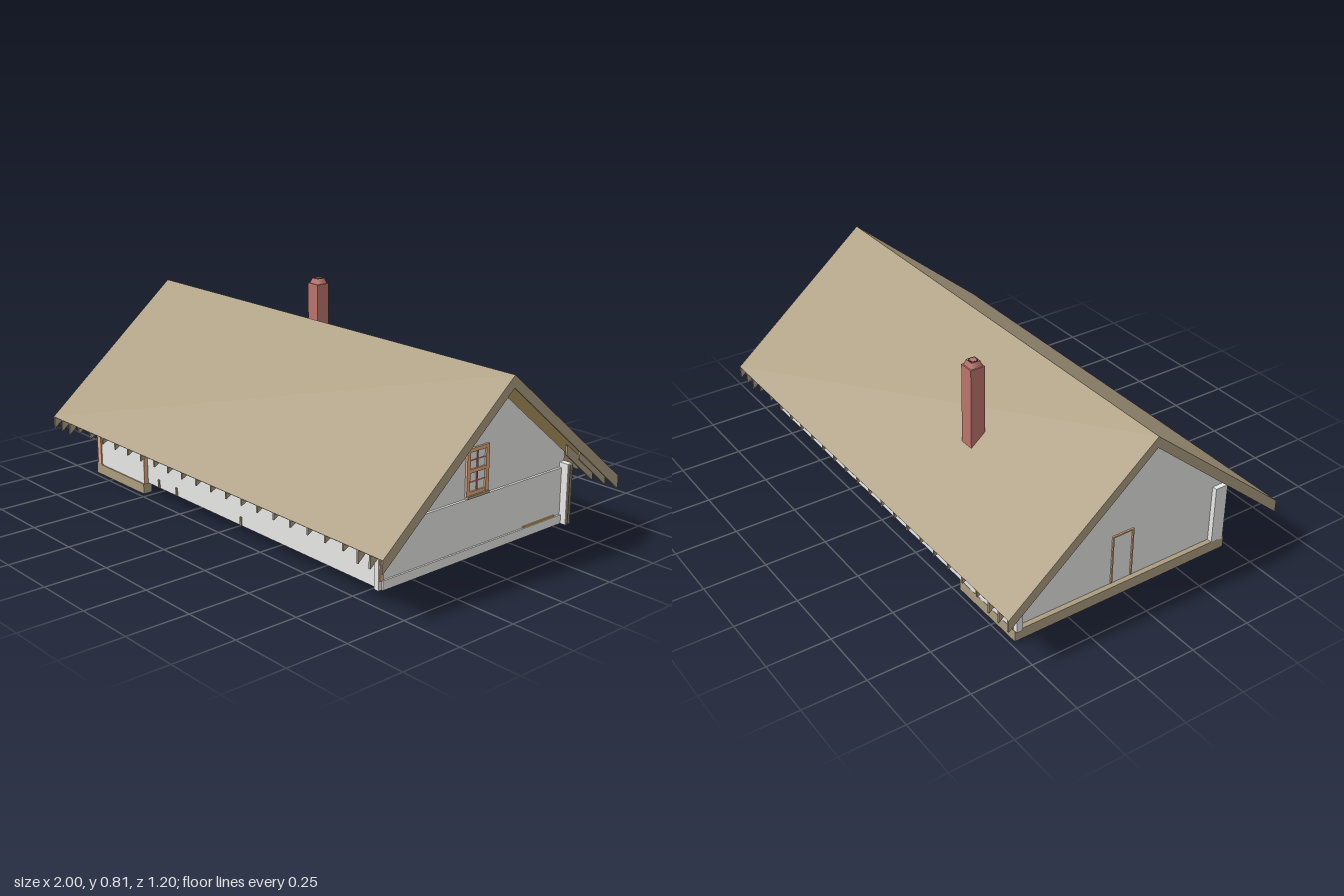
import * as THREE from 'three';

const mat = (name, color) => {
  const m = new THREE.MeshStandardMaterial({ color });
  m.name = name;
  return m;
};

export function createModel() {
  const house = new THREE.Group();
  house.name = 'house';
  const tan = mat('roof tan', 0xac9d80);
  const white = mat('wall white', 0xe8e8e6);
  const orange = mat('frame wood', 0xe0aa80);
  const red = mat('chimney brick', 0xbc746b);
  const plank = mat('floor plank', 0xc08e92);
  const lining = mat('roof lining', 0xc0a468);
  const yellow = mat('yellow trim', 0xe0b050);
  const dark = mat('flue dark', 0x2c2422);

  const add = (name, geo, m, parent = house) => {
    const mesh = new THREE.Mesh(geo, m);
    mesh.name = name;
    parent.add(mesh);
    return mesh;
  };
  // Box given by its limits on each axis
  const box = (name, m, x0, x1, y0, y1, z0, z1, parent) => {
    const mesh = add(name, new THREE.BoxGeometry(x1 - x0, y1 - y0, z1 - z0), m, parent);
    mesh.position.set((x0 + x1) / 2, (y0 + y1) / 2, (z0 + z1) / 2);
    return mesh;
  };
  // Prism with a [z, y] profile, centred on x
  const prism = (points, width) => {
    const shape = new THREE.Shape(points.map(([z, y]) => new THREE.Vector2(z, y)));
    const geo = new THREE.ExtrudeGeometry(shape, { depth: width, bevelEnabled: false });
    return geo.translate(0, 0, -width / 2).rotateY(-Math.PI / 2);
  };

  // Walls: main storey, gables, back wall and projecting entrance bay
  box('mainWalls', white, -0.849, 0.85, 0.045, 0.265, -0.46, 0.46);
  const gables = add('gableWalls', prism([[-0.48, 0.262], [0.48, 0.262], [0.48, 0.32], [0, 0.72], [-0.48, 0.32]], 1.69), white);
  gables.position.x = -0.005;
  box('backWall', white, -0.88, 0.88, 0.045, 0.285, -0.48, -0.455);
  box('entranceBay', white, -0.87, -0.525, 0.04, 0.285, 0.42, 0.475);

  // Foundation under the entrance end
  box('foundationFront', tan, -0.87, -0.525, 0, 0.042, 0.44, 0.48);
  box('foundationSide', tan, -0.87, -0.83, 0, 0.045, -0.48, 0.48);
  box('foundationBack', tan, -0.87, -0.525, 0, 0.045, -0.481, -0.44);

  // Thin roof covering and its wooden underside
  add('roofCovering', prism([[-0.6, 0.24], [-0.599, 0.238], [0, 0.737], [0.599, 0.238], [0.6, 0.24], [0, 0.74]], 2), tan);
  add('roofLining', prism([[-0.595, 0.2405], [-0.595, 0.2385], [0, 0.734], [0.595, 0.2385], [0.595, 0.2405], [0, 0.7365]], 1.99), lining);

  // Rafters along the verges, with deep tails beside them
  const verge = prism([[-0.6, 0.238], [-0.6, 0.19], [0, 0.695], [0.6, 0.19], [0.6, 0.238], [0, 0.737]], 0.008);
  const deepTail = prism([[0.44, 0.365], [0.44, 0.325], [0.599, 0.19], [0.599, 0.238]], 0.008);
  // Short rafter tails along both eaves
  const tail = prism([[0.45, 0.355], [0.46, 0.275], [0.53, 0.25], [0.599, 0.212], [0.599, 0.238]], 0.008);
  const addTail = (name, geo, x) => {
    for (const turn of [0, Math.PI]) {
      const mesh = add(name, geo, tan);
      mesh.position.x = x;
      mesh.rotation.y = turn;
    }
  };
  for (const side of [-1, 1]) {
    add('vergeRafter', verge, tan).position.x = side * 0.996;
    for (const x of [0.938, 0.88]) addTail('deepRafterTail', deepTail, side * x);
  }
  for (let i = 0; i < 19; i++) addTail('rafterTail', tail, -0.81 + i * 0.09);

  // Chimney with tapered cap and flue
  const chimney = new THREE.Group();
  chimney.name = 'chimney';
  chimney.position.set(-0.34, 0, -0.295);
  house.add(chimney);
  box('chimneyStack', red, -0.03, 0.03, 0.42, 0.791, -0.03, 0.03, chimney);
  const cap = add('chimneyCap', new THREE.CylinderGeometry(0.026, 0.035, 0.021, 4).rotateY(Math.PI / 4), red, chimney);
  cap.position.y = 0.8015;
  const rim = add('flueRim', new THREE.CylinderGeometry(0.018, 0.018, 0.002, 20), dark, chimney);
  rim.position.y = 0.8118;
  const flue = add('flue', new THREE.CylinderGeometry(0.013, 0.013, 0.002, 20), red, chimney);
  flue.position.y = 0.8126;

  // Gable window on the left end
  const win = new THREE.Group();
  win.name = 'gableWindow';
  win.position.x = 0.84;
  house.add(win);
  box('pane', white, 0, 0.002, 0.275, 0.445, -0.05, 0.05, win);
  for (const s of [-1, 1]) box('windowJamb', orange, 0, 0.009, 0.275, 0.45, s * 0.048 - 0.008, s * 0.048 + 0.008, win);
  for (const y of [0.282, 0.365, 0.442]) box('windowRail', orange, 0, 0.008, y - 0.007, y + 0.007, -0.045, 0.045, win);
  box('mullion', red, 0, 0.005, 0.28, 0.44, -0.003, 0.003, win);
  for (const y of [0.323, 0.403]) box('glazingBar', red, 0, 0.004, y - 0.002, y + 0.002, -0.045, 0.045, win);
  box('windowSill', tan, 0, 0.015, 0.266, 0.276, -0.055, 0.055, win);

  // Boards on the left end wall
  box('cornerPost', orange, 0.848, 0.855, 0.08, 0.262, 0.456, 0.472);
  box('cornerBoard', white, 0.83, 0.85, 0.045, 0.285, 0.46, 0.475);
  box('sillBoard', white, 0.848, 0.857, 0.045, 0.08, -0.455, 0.46);
  box('lowTrim', yellow, 0.848, 0.854, 0.08, 0.086, -0.42, -0.245);
  for (const z of [-0.463, -0.475]) box('backWallEdge', tan, 0.878, 0.884, 0.048, 0.28, z - 0.003, z + 0.003);

  // Entrance bay posts
  box('bayLeftPost', orange, -0.86, -0.835, 0.042, 0.27, 0.47, 0.48);
  box('baySidePost', orange, -0.526, -0.52, 0.042, 0.27, 0.46, 0.478);

  // Door outline on the right end
  for (const z of [-0.045, 0.045]) box('doorJamb', orange, -0.855, -0.849, 0.05, 0.255, z - 0.003, z + 0.003);
  box('doorHead', orange, -0.855, -0.849, 0.25, 0.256, -0.045, 0.045);

  // Slim trims on the back wall and pegs on the front wall
  for (const x of [-0.636, -0.854]) box('backTrim', orange, x - 0.005, x + 0.005, 0.046, 0.26, -0.483, -0.479);
  for (const x of [-0.44, -0.32, 0.09, 0.84]) box('frontPeg', tan, x - 0.004, x + 0.004, 0.046, 0.08, 0.459, 0.466);

  // Planks showing on the underside: [x0, x1, z0, z1, rows]
  const patches = [[-0.27, 0.08, 0.28, 0.45, 4], [-0.82, -0.25, 0.13, 0.43, 6],
    [-0.2, 0.05, -0.44, -0.14, 6], [-0.82, -0.64, -0.3, -0.12, 4]];
  for (const [x0, x1, z0, z1, rows] of patches) {
    const step = (z1 - z0) / rows;
    for (let i = 0; i < rows; i++)
      box('floorPlank', plank, x0 + (i % 2) * 0.02, x1 - (i % 3) * 0.02, 0.0435, 0.046, z0 + i * step, z0 + (i + 0.92) * step);
  }
  box('hearthBase', red, 0.16, 0.25, 0.0435, 0.046, 0.23, 0.31);
  for (const [x, z] of [[-0.22, 0.28], [-0.5, 0.28], [0.04, -0.28], [-0.21, -0.28]])
    box('floorJoist', tan, x - 0.012, x + 0.012, 0.042, 0.046, z - 0.14, z + 0.14);

  return house;
}
